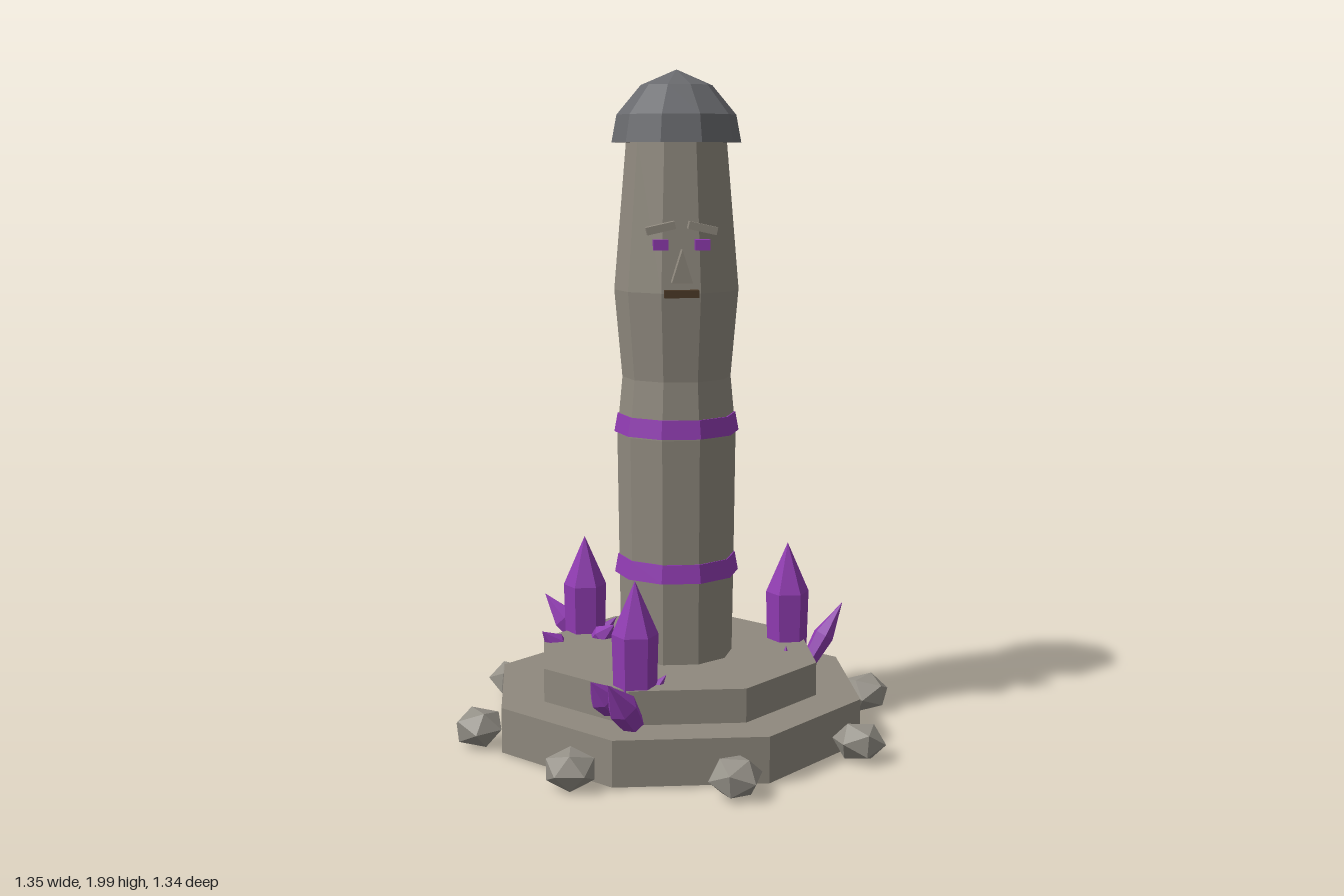
import * as THREE from 'three';

const mat = (color) => new THREE.MeshStandardMaterial({ color, flatShading: true });
const STONE = mat(0x8f897e), ROCK = mat(0x949087), SLATE = mat(0x696a6e);
const PURPLE = mat(0x8f3bb0), BROWN = mat(0x4d3a28);
const SIDES = 10, START = Math.PI / SIDES;

export function createModel() {
  const root = new THREE.Group();

  const add = (name, geometry, material, x = 0, y = 0, z = 0, parent = root) => {
    const mesh = new THREE.Mesh(geometry, material);
    mesh.name = name;
    mesh.position.set(x, y, z);
    parent.add(mesh);
    return mesh;
  };
  // Ten-sided turned shape with a flat side to the front
  const turned = (points) => new THREE.LatheGeometry(
    points.map(([r, y]) => new THREE.Vector2(r, y)), SIDES, START);

  // Two octagonal steps
  const step = (name, apothem, y0, y1) => {
    const r = apothem / Math.cos(Math.PI / 8);
    add(name, new THREE.CylinderGeometry(r, r, y1 - y0, 8, 1, false, Math.PI / 8),
      STONE, 0, (y0 + y1) / 2, 0);
  };
  step('lowerStep', 0.53, 0.02, 0.155);
  step('upperStep', 0.405, 0.15, 0.255);

  // Pillar with a gentle bulge, and its cap
  add('pillar', turned([[0, 0.2], [0.168, 0.2], [0.173, 0.52], [0.178, 0.93], [0.162, 1.1],
    [0.185, 1.36], [0.148, 1.8], [0, 1.8]]), STONE);
  add('cap', turned([[0, 1.79], [0.191, 1.79], [0.176, 1.87], [0.105, 1.955], [0, 2]]), SLATE);

  // Purple bands
  for (const y of [0.505, 0.935]) {
    add('band', turned([[0.15, y], [0.187, y], [0.177, y + 0.055], [0.15, y + 0.055]]), PURPLE);
  }

  // Face
  const face = new THREE.Group();
  face.name = 'face';
  root.add(face);
  for (const s of [-1, 1]) {
    const brow = add('eyebrow', new THREE.BoxGeometry(0.083, 0.022, 0.05), STONE,
      s * 0.06, 1.548, 0.186, face);
    brow.rotation.z = -s * 0.22;
    add('eye', new THREE.BoxGeometry(0.042, 0.03, 0.035), PURPLE, s * 0.06, 1.5, 0.185, face);
  }
  const nose = new THREE.Shape([[-0.03, 0], [0.03, 0], [0, 0.095]].map((p) => new THREE.Vector2(...p)));
  add('nose', new THREE.ExtrudeGeometry(nose, { depth: 0.065, bevelEnabled: false }),
    STONE, 0, 1.393, 0.157, face);
  add('mouth', new THREE.BoxGeometry(0.1, 0.022, 0.035), BROWN, 0, 1.36, 0.184, face);

  // Tall upright crystals: hexagonal body with a pointed tip
  const crystal = new THREE.LatheGeometry([[0, 0.15], [0.06, 0.15], [0.067, 0.405], [0, 0.56]]
    .map((p) => new THREE.Vector2(...p)), 6, Math.PI / 6);
  for (const [x, z] of [[-0.273, -0.248], [0.355, -0.107], [-0.145, 0.345]]) {
    add('tallCrystal', crystal, PURPLE, x, 0, z);
  }

  // Leaning shards from a base point to a tip point
  const up = new THREE.Vector3(0, 1, 0);
  const shard = (base, tip, r) => {
    const a = new THREE.Vector3(...base);
    const dir = new THREE.Vector3(...tip).sub(a);
    const len = dir.length();
    const geo = new THREE.LatheGeometry([[0, 0], [r * 0.75, len * 0.12], [r, len * 0.5], [0, len]]
      .map((p) => new THREE.Vector2(...p)), 6);
    add('shard', geo, PURPLE, ...base).quaternion.setFromUnitVectors(up, dir.normalize());
  };
  shard([0.42, 0.14, -0.155], [0.545, 0.34, -0.2], 0.034);
  shard([-0.27, 0.19, -0.305], [-0.4, 0.345, -0.37], 0.042);
  shard([-0.335, 0.2, -0.155], [-0.41, 0.29, -0.11], 0.036);
  shard([-0.25, 0.22, -0.185], [-0.185, 0.3, -0.135], 0.036);
  shard([-0.24, 0.22, -0.26], [-0.172, 0.29, -0.267], 0.02);
  shard([-0.155, 0.23, -0.295], [-0.105, 0.29, -0.335], 0.024);
  shard([-0.145, 0.15, 0.42], [-0.23, 0.31, 0.52], 0.045);
  shard([-0.205, 0.18, 0.355], [-0.275, 0.29, 0.42], 0.04);
  shard([-0.12, 0.2, 0.345], [-0.055, 0.28, 0.335], 0.022);
  shard([0.332, 0.23, 0.035], [0.332, 0.27, 0.035], 0.008);
  shard([-0.165, 0.24, 0.187], [-0.165, 0.285, 0.187], 0.01);

  // Rocks around the foot
  const rock = new THREE.IcosahedronGeometry(0.079, 0).scale(1, 0.76, 1);
  const spots = [[-0.115, -0.6], [0.335, -0.5], [-0.505, -0.335], [0.605, -0.115],
    [-0.6, 0.13], [0.505, 0.345], [-0.335, 0.51], [0.115, 0.605]];
  spots.forEach(([x, z], i) => {
    add('rock', rock, ROCK, x, 0.07, z).rotation.set(0.12 * Math.sin(i * 2), i * 1.3, 0.12 * Math.cos(i * 3));
  });

  return root;
}
